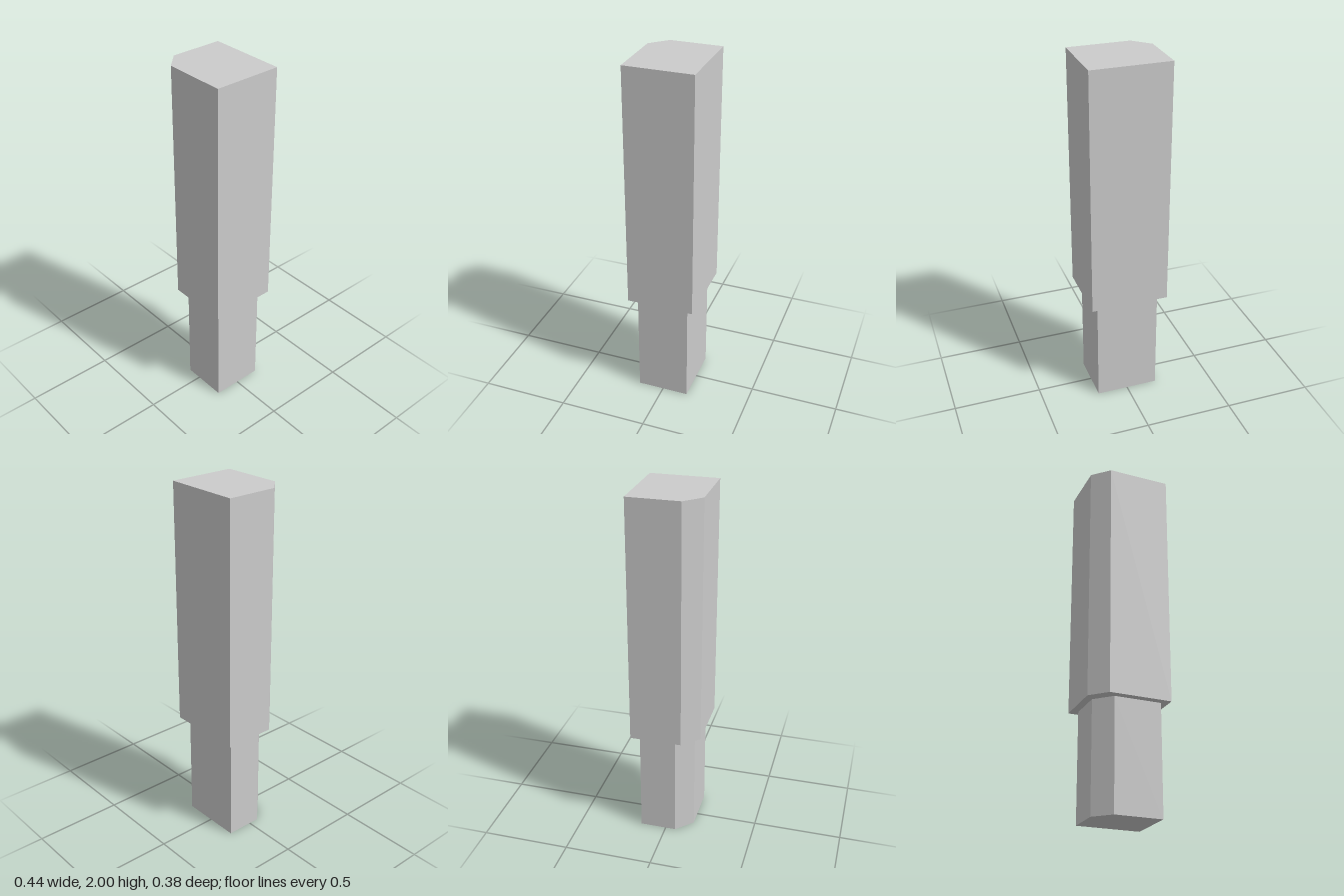
import * as THREE from 'three';

const material = new THREE.MeshStandardMaterial({ color: 0xcccccc, flatShading: true });

// Upright block with its front corner at -x cut off at 45 degrees
function chamferedBlock(name, halfX, halfZ, chamfer, bottom, top) {
  const shape = new THREE.Shape([
    new THREE.Vector2(-halfX + chamfer, -halfZ),
    new THREE.Vector2(halfX, -halfZ),
    new THREE.Vector2(halfX, halfZ),
    new THREE.Vector2(-halfX, halfZ),
    new THREE.Vector2(-halfX, -halfZ + chamfer),
  ]);
  const geometry = new THREE.ExtrudeGeometry(shape, { depth: top - bottom, bevelEnabled: false });
  geometry.rotateX(-Math.PI / 2).translate(0, bottom, 0);
  const mesh = new THREE.Mesh(geometry, material);
  mesh.name = name;
  return mesh;
}

export function createModel() {
  const group = new THREE.Group();
  group.name = 'steppedPost';
  group.add(
    chamferedBlock('lowerShaft', 0.178, 0.148, 0.09, 0, 0.62),
    chamferedBlock('upperBody', 0.22, 0.19, 0.09, 0.62, 2),
  );
  return group;
}
